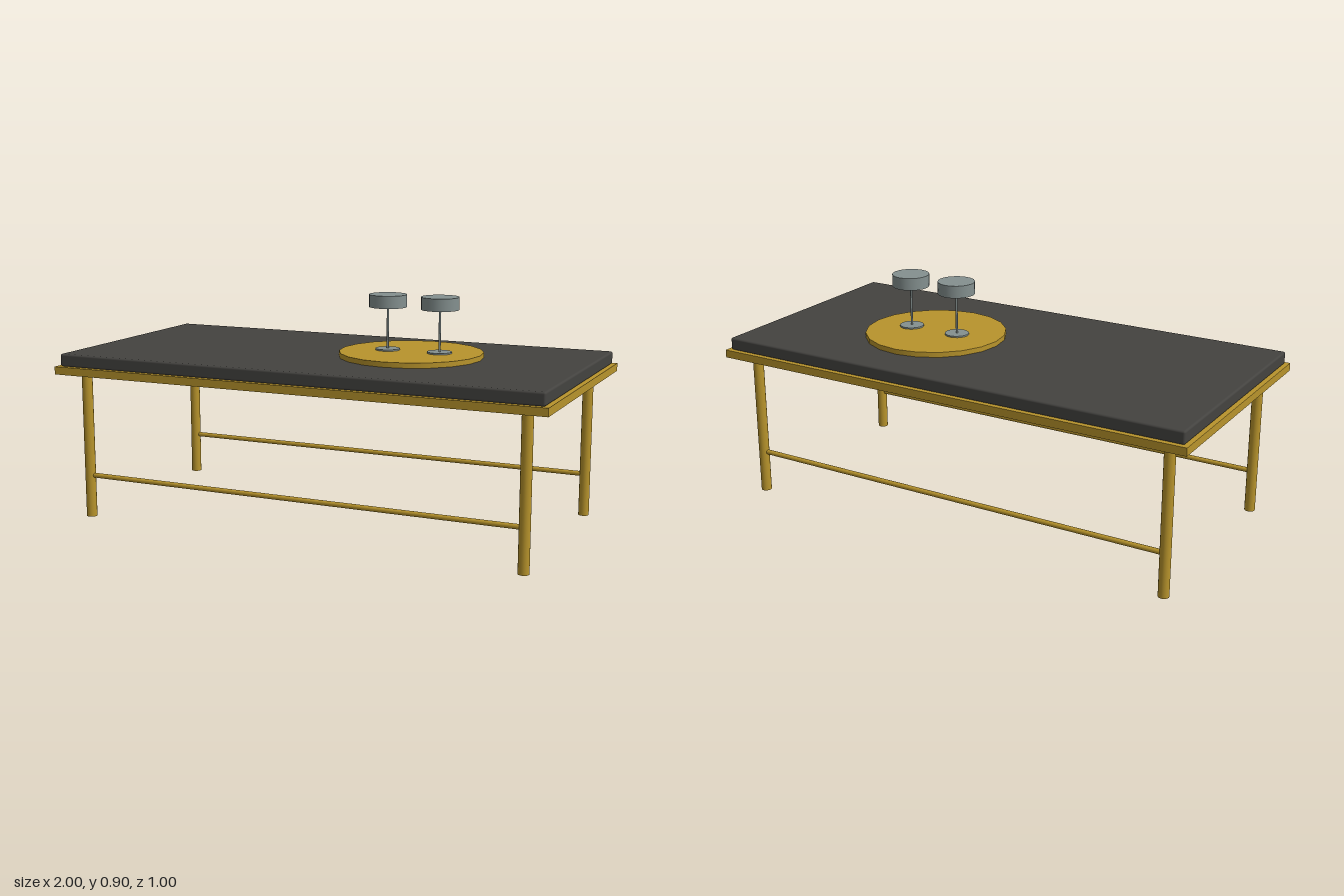
import * as THREE from 'three';
import { RoundedBoxGeometry } from 'three/addons/geometries/RoundedBoxGeometry.js';

export function createModel() {
  const model = new THREE.Group();
  model.name = 'coffeeTable';
  const brass = new THREE.MeshStandardMaterial({ color: 0xb8942c });
  const slate = new THREE.MeshStandardMaterial({ color: 0x444340 });
  const glass = new THREE.MeshStandardMaterial({ color: 0x84908f });

  const add = (name, geometry, material, x, y, z, parent = model) => {
    const mesh = new THREE.Mesh(geometry, material);
    mesh.name = name;
    mesh.position.set(x, y, z);
    parent.add(mesh);
    return mesh;
  };
  // Upright round part between two heights
  const disc = (name, r, y0, y1, sides, material, x, z, parent) =>
    add(name, new THREE.CylinderGeometry(r, r, y1 - y0, sides), material, x, (y0 + y1) / 2, z, parent);

  // Table top: brass frame plate with a softened dark slab on it
  add('framePlate', new THREE.BoxGeometry(2, 0.031, 1), brass, 0, 0.602, 0);
  add('tableTop', new RoundedBoxGeometry(1.968, 0.05, 0.968, 2, 0.008), slate, 0, 0.642, 0);

  // Legs, with one long stretcher on the front and one on the back
  const legX = 0.905, legZ = 0.418;
  for (const sz of [1, -1]) {
    for (const sx of [1, -1]) disc('leg', 0.021, 0, 0.587, 20, brass, sx * legX, sz * legZ);
    const bar = add('stretcher', new THREE.CylinderGeometry(0.01, 0.01, 2 * legX, 12), brass, 0, 0.17, sz * legZ);
    bar.rotation.z = Math.PI / 2;
  }

  // Round tray
  const trayZ = -0.034;
  disc('tray', 0.282, 0.667, 0.687, 20, brass, 0.297, trayZ);

  // Two stemmed glasses on the tray
  for (const x of [0.198, 0.414]) {
    const goblet = new THREE.Group();
    goblet.name = 'stemGlass';
    goblet.position.set(x, 0, trayZ);
    model.add(goblet);
    disc('foot', 0.048, 0.686, 0.693, 20, glass, 0, 0, goblet);
    disc('stem', 0.0045, 0.69, 0.858, 10, glass, 0, 0, goblet);
    disc('bowl', 0.074, 0.856, 0.905, 20, glass, 0, 0, goblet);
  }
  return model;
}
